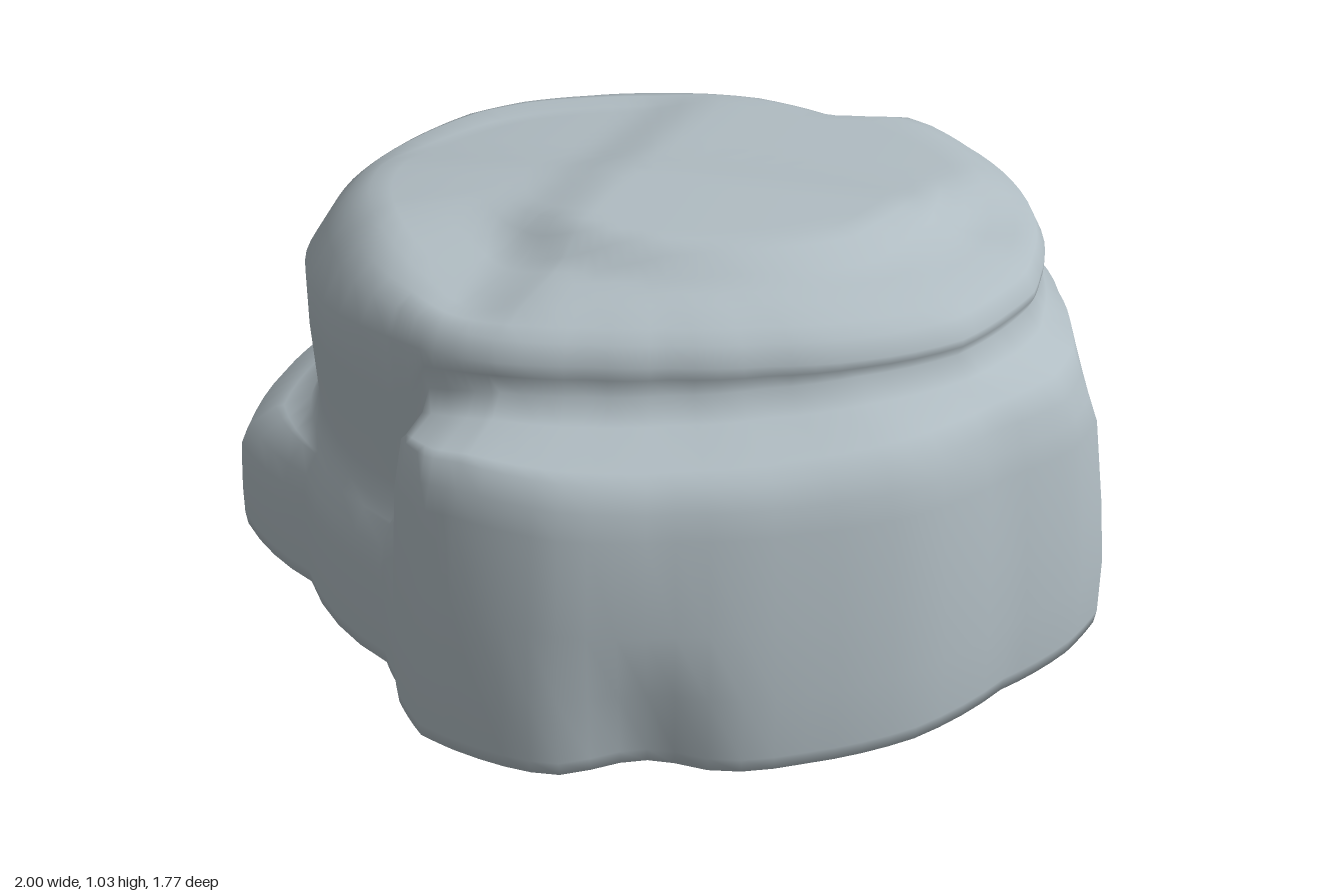
import * as THREE from 'three';
import { mergeVertices } from 'three/addons/utils/BufferGeometryUtils.js';

// Plan of the boulder: angle from +x towards +z (degrees), base radius,
// ledge radius, ledge height, radius of the upper block.
const PLAN = [
  [2, 1.0, 0.92, 0.70, 0.81], [10, 0.975, 0.92, 0.70, 0.79], [22, 0.92, 0.87, 0.71, 0.77],
  [38, 0.91, 0.86, 0.72, 0.70], [53, 0.88, 0.82, 0.72, 0.64], [70, 0.865, 0.80, 0.72, 0.61],
  [85, 0.89, 0.81, 0.72, 0.62], [100, 0.87, 0.80, 0.72, 0.66], [106, 0.86, 0.80, 0.71, 0.67],
  [114, 0.80, 0.75, 0.69, 0.68], [118, 0.76, 0.71, 0.5, 0.68], [124, 0.73, 0.70, 0.42, 0.68],
  [153, 0.785, 0.75, 0.41, 0.73], [170, 0.965, 0.87, 0.40, 0.77], [186, 1.005, 0.88, 0.40, 0.80],
  [200, 1.055, 0.90, 0.40, 0.82], [219, 1.02, 0.90, 0.40, 0.85], [229, 0.92, 0.87, 0.42, 0.84],
  [240, 0.89, 0.83, 0.52, 0.81], [253, 0.876, 0.81, 0.58, 0.79], [271, 0.89, 0.80, 0.62, 0.785],
  [285, 0.865, 0.78, 0.64, 0.755], [290, 0.86, 0.79, 0.65, 0.77], [297, 0.945, 0.87, 0.68, 0.86],
  [302, 0.96, 0.88, 0.69, 0.86], [312, 0.97, 0.89, 0.70, 0.84], [327, 0.93, 0.87, 0.70, 0.83],
  [344, 0.905, 0.87, 0.70, 0.82], [356, 0.955, 0.90, 0.70, 0.81],
];
const SPLIT = 4;
const { lerp, smoothstep, degToRad, radToDeg } = THREE.MathUtils;
const bell = (x, centre, width) => Math.exp(-(((x - centre) / width) ** 2));

// Height of the top surface: falling to the back and left, with a raised shelf
// that ends in a curved step at the front.
function topHeight(x, z) {
  const slope = 1.028 - 0.04 * smoothstep(-z, -0.05, 0.25) - 0.1 * Math.max(0, -z - 0.2)
    - 0.03 * smoothstep(-x, 0.05, 0.25) - (x < 0 ? 0.1 : 0.03) * x * x;
  const dx = x - 0.1, dz = z + 0.12, r = Math.hypot(dx, dz);
  const angle = radToDeg(Math.atan2(dz, dx));
  const front = smoothstep(angle, -25, 5) * (1 - smoothstep(angle, 110, 150));
  return slope - front * (0.06 * smoothstep(r, 0.46, 0.56) + 0.14 * Math.max(0, r - 0.56));
}

// One vertical section of the rock, from bottom centre to top centre: [radius, height].
function section(deg, base, ledge, ledgeY, top) {
  const a = degToRad(deg);
  // Chipped hollow low on the front, and a worn foot under the back corner
  const chip = 0.06 * bell(deg, 75, 8) + 0.06 * bell(deg, 303, 9);
  // Ledge climbs on the left flank, upper edge is rounder on the right flank
  const rise = 0.05 * Math.max(0, Math.cos(a)) ** 2;
  const round = Math.max(0, -Math.cos(a)) ** 2;
  const rim = 0.1 + 0.015 * Math.cos(a);
  const low = ledgeY - 0.1;
  const taper = 0.08 + 0.42 * smoothstep(ledgeY, 0.42, 0.58);
  const waist = ledgeY + 0.08 + rise, shoulder = 0.87 - 0.08 * round;
  const points = [
    [0, 0], [base * 0.35, 0.003], [base * 0.65, 0.03], [base * 0.96 - chip, rim - 0.015],
    [base * 0.995 - chip, rim], [base - chip, rim + 0.03],
    [base - chip * 0.6, lerp(0.13, low, 0.3)],
    [lerp(base, ledge, taper * 0.35), lerp(0.13, low, 0.6)],
    [lerp(base, ledge, taper), low],
    [lerp(base, ledge, taper + 0.25), ledgeY - 0.05],
    [ledge, ledgeY],
    [lerp(ledge, top, 0.2), ledgeY + 0.005 + rise],
    [lerp(ledge, top, 0.85), ledgeY + 0.035 + rise],
    [top * 0.985, waist],
    [top, lerp(waist, shoulder, 0.6)], [top, shoulder],
    [top * (0.975 - 0.05 * round), 0.91 - 0.03 * round],
  ];
  // Top surface, ring by ring inwards
  const plateau = top * (0.92 - 0.06 * round);
  for (let k = 0; k <= 14; k++) {
    const r = plateau * (1 - k / 14);
    const y = topHeight(r * Math.cos(a), r * Math.sin(a));
    points.push([r, k === 0 ? lerp(y, 0.92, 0.7) : y]);
  }
  return points.map(([r, y]) => [r * Math.cos(a), y, r * Math.sin(a)]);
}

function rockGeometry() {
  const columns = [];
  PLAN.forEach((row, i) => {
    const next = [...PLAN[(i + 1) % PLAN.length]];
    if (next[0] < row[0]) next[0] += 360;
    for (let s = 0; s < SPLIT; s++) {
      columns.push(section(...row.map((v, k) => lerp(v, next[k], s / SPLIT))));
    }
  });
  const rows = columns[0].length, positions = columns.flat(2), index = [];
  for (let i = 0; i < columns.length; i++) {
    const n = (i + 1) % columns.length;
    for (let j = 0; j < rows - 1; j++) {
      const a = i * rows + j, b = n * rows + j;
      if (j < rows - 2) index.push(a, a + 1, b + 1);
      if (j > 0) index.push(a, b + 1, b);
    }
  }
  const geometry = new THREE.BufferGeometry();
  geometry.setAttribute('position', new THREE.Float32BufferAttribute(positions, 3));
  geometry.setIndex(index);
  const merged = mergeVertices(geometry, 1e-5);
  merged.computeVertexNormals();
  return merged;
}

export function createModel() {
  const stone = new THREE.MeshStandardMaterial({ color: 0xb0bcc2 });
  stone.name = 'grey stone';
  const rock = new THREE.Mesh(rockGeometry(), stone);
  rock.name = 'boulder';
  const group = new THREE.Group();
  group.name = 'rock';
  group.add(rock);
  return group;
}
